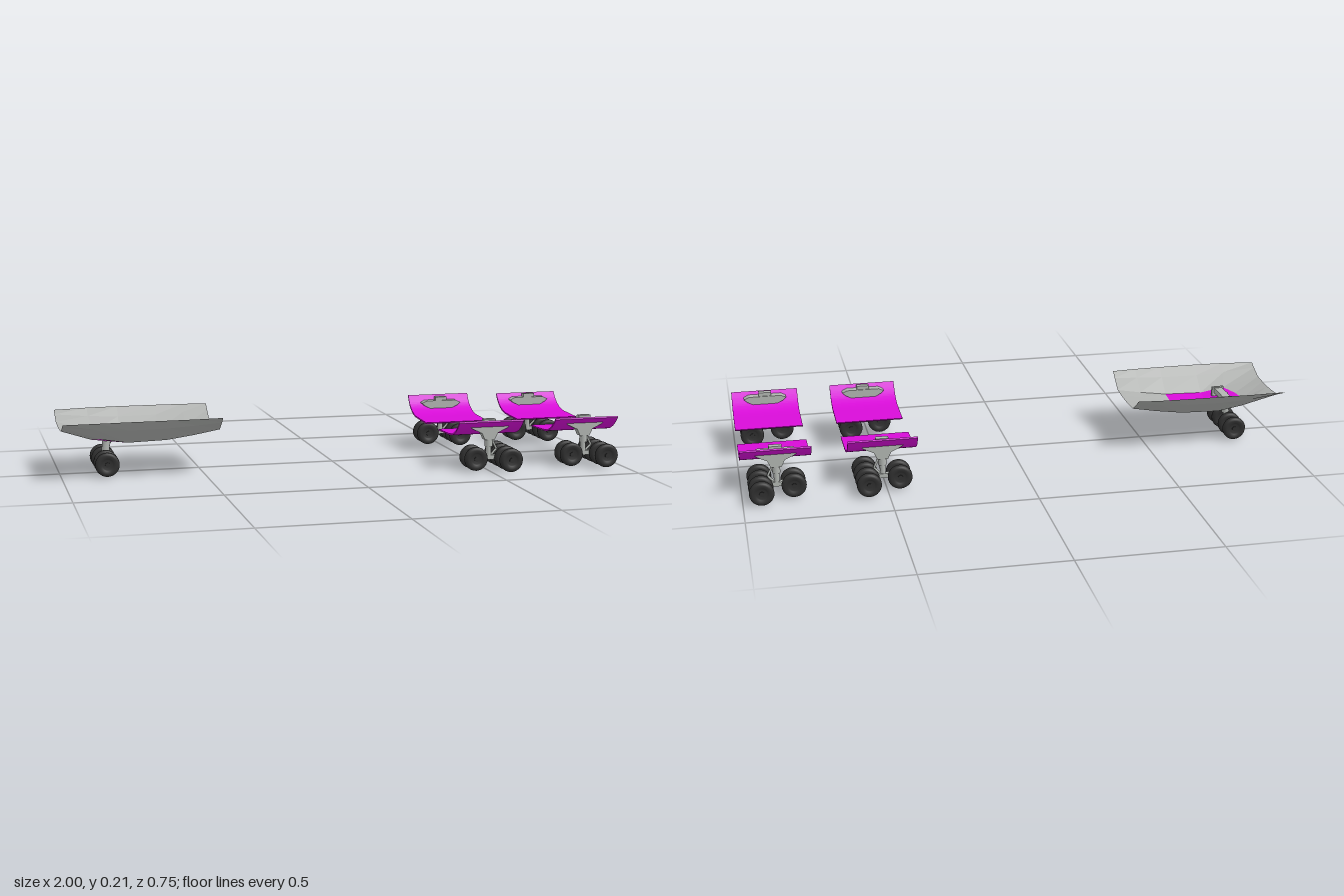
import * as THREE from 'three';

const mat = (name, color, side = THREE.FrontSide) => {
  const m = new THREE.MeshStandardMaterial({ color, side });
  m.name = name;
  return m;
};

export function createModel() {
  const root = new THREE.Group();
  root.name = 'landingGearSet';
  const hullGrey = mat('hullGrey', 0xb0b2b0, THREE.DoubleSide);
  const magenta = mat('magenta', 0xd80cd8, THREE.DoubleSide);
  const metal = mat('metalGrey', 0xb2b6b2);
  const rubber = mat('rubber', 0x303030);

  const add = (parent, name, geo, material, x = 0, y = 0, z = 0) => {
    const m = new THREE.Mesh(geo, material);
    m.name = name;
    m.position.set(x, y, z);
    parent.add(m);
    return m;
  };
  const box = (parent, name, w, h, d, x, y, z) =>
    add(parent, name, new THREE.BoxGeometry(w, h, d), metal, x, y, z);
  // Round bar between two points
  const bar = (parent, name, a, b, r) => {
    const p = new THREE.Vector3(...a), q = new THREE.Vector3(...b);
    const m = add(parent, name, new THREE.CylinderGeometry(r, r, p.distanceTo(q), 14), metal);
    m.position.copy(p).add(q).multiplyScalar(0.5);
    m.quaternion.setFromUnitVectors(new THREE.Vector3(0, 1, 0), q.sub(p).normalize());
  };

  // Tyre with rounded shoulders and a recessed hub
  const R = 0.043, WY = 0.046;
  const tyreGeo = new THREE.LatheGeometry([
    [0, -0.008], [0.018, -0.008], [0.021, -0.012], [0.032, -0.0145], [0.039, -0.012], [0.0425, -0.006],
    [R, 0], [0.0425, 0.006], [0.039, 0.012], [0.032, 0.0145], [0.021, 0.012], [0.018, 0.008], [0, 0.008],
  ].map(p => new THREE.Vector2(...p)), 28).rotateX(Math.PI / 2);
  const wheel = (parent, x, z) => {
    add(parent, 'tyre', tyreGeo, rubber, x, WY, z);
    const hub = new THREE.CylinderGeometry(0.009, 0.009, 0.022, 12).rotateX(Math.PI / 2);
    add(parent, 'wheelHub', hub, rubber, x, WY, z);
  };

  // Nose hull: sections along x with edge half width and heights of edge, side, chine, keel
  const sections = [
    [-1.0, 0.178, 0.207, 0.194, 0.174, 0.168],
    [-0.88, 0.187, 0.209, 0.182, 0.139, 0.128],
    [-0.77, 0.188, 0.210, 0.176, 0.124, 0.112],
    [-0.63, 0.187, 0.210, 0.178, 0.128, 0.119],
    [-0.53, 0.184, 0.210, 0.184, 0.142, 0.135],
    [-0.44, 0.176, 0.210, 0.190, 0.158, 0.153],
  ];
  const rings = sections.map(([x, w, ye, ys, yc, yk], i) => {
    const half = [[w, ye, 0], [0.1 + (w - 0.1) * 0.68, ys, 0], [0.105, yc, 0.02],
      [0.055, (yc + yk * 2) / 3, -0.012], [0, yk, -0.022]];
    const all = [...half, ...half.slice(0, 4).reverse().map(([z, y, b]) => [-z, y, b])];
    // The front edge of the door bows forward
    return all.map(([z, y, bow]) => [x + (i === 1 ? bow : 0), y, z]);
  });
  const shell = [], door = [];
  for (let i = 0; i < rings.length - 1; i++) {
    for (let j = 0; j < 8; j++) {
      const isDoor = (i === 1 || i === 2) && j >= 2 && j <= 5;
      const a = rings[i][j], b = rings[i + 1][j], c = rings[i + 1][j + 1], d = rings[i][j + 1];
      (isDoor ? door : shell).push(...a, ...c, ...b, ...a, ...d, ...c);
    }
  }
  const facets = pos => {
    const g = new THREE.BufferGeometry();
    g.setAttribute('position', new THREE.Float32BufferAttribute(pos, 3));
    g.computeVertexNormals();
    return g;
  };
  const nose = new THREE.Group();
  nose.name = 'noseGear';
  root.add(nose);
  add(nose, 'noseHull', facets(shell), hullGrey);
  add(nose, 'noseDoor', facets(door), magenta);

  // Nose strut, axle, mounting frame and wheels
  bar(nose, 'noseStrut', [-0.84, WY, 0], [-0.832, 0.11, 0], 0.009);
  bar(nose, 'noseSleeve', [-0.836, 0.08, 0], [-0.828, 0.155, 0], 0.014);
  bar(nose, 'noseAxle', [-0.84, WY, -0.095], [-0.84, WY, 0.095], 0.007);
  bar(nose, 'noseDragBrace', [-0.838, 0.085, 0], [-0.80, 0.14, 0], 0.005);
  box(nose, 'noseMount', 0.03, 0.018, 0.13, -0.822, 0.148, 0);
  for (const s of [-1, 1]) {
    box(nose, 'noseMountEnd', 0.045, 0.035, 0.012, -0.822, 0.143, s * 0.06);
    wheel(nose, -0.84, s * 0.037);
    wheel(nose, -0.84, s * 0.091);
  }

  // Main gear: curved belly panel, tapered mount, strut and six-wheel bogie
  const mainGear = (name, cx, s, top) => {
    const g = new THREE.Group();
    g.name = name;
    g.position.x = cx;
    root.add(g);

    const curve = new THREE.SplineCurve([[0.075, 0.114], [0.15, 0.116], [0.22, 0.120], [0.262, 0.134],
      [0.292, 0.155], [0.313, top]].map(([z, y]) => new THREE.Vector2(z * s, y)));
    const low = curve.getPoints(24);
    const high = low.map(p => new THREE.Vector2(p.x - s * 0.003, p.y + 0.005)).reverse();
    const panel = new THREE.ExtrudeGeometry(new THREE.Shape([...low, ...high]), { depth: 0.244, bevelEnabled: false });
    panel.translate(0, 0, -0.122).rotateY(-Math.PI / 2);
    add(g, 'bellyPanel', panel, magenta);

    // Tapered mount passing through the panel
    const outline = new THREE.Shape([[-0.018, 0.11], [0.018, 0.11], [0.03, 0.135], [0.066, 0.152], [0.078, 0.163],
      [0.06, 0.172], [-0.06, 0.172], [-0.078, 0.163], [-0.066, 0.152], [-0.03, 0.135]]
      .map(p => new THREE.Vector2(...p)));
    const mount = new THREE.ExtrudeGeometry(outline, { depth: 0.03, bevelEnabled: false });
    add(g, 'strutMount', mount, metal, 0, 0, s * 0.28 - 0.015);
    box(g, 'mountCap', 0.045, 0.025, 0.022, 0, 0.173, s * 0.28);
    bar(g, 'strutSleeve', [0, 0.085, s * 0.28], [0, 0.15, s * 0.28], 0.014);
    bar(g, 'strutPiston', [0, WY, s * 0.28], [0, 0.1, s * 0.28], 0.010);
    bar(g, 'torqueLink', [0.008, 0.12, s * 0.28], [0.03, 0.075, s * 0.28], 0.004);
    bar(g, 'torqueLink', [0.03, 0.075, s * 0.28], [0.006, 0.05, s * 0.28], 0.004);

    // Bogie: two wheels on one axle, four on the other
    box(g, 'bogieBeam', 0.118, 0.016, 0.018, 0, WY, s * 0.282);
    bar(g, 'shortAxle', [-0.057, WY, s * 0.25], [-0.057, WY, s * 0.315], 0.007);
    bar(g, 'longAxle', [0.057, WY, s * 0.195], [0.057, WY, s * 0.37], 0.008);
    for (const z of [0.256, 0.309]) wheel(g, -0.057, s * z);
    for (const z of [0.201, 0.256, 0.309, 0.362]) wheel(g, 0.057, s * z);
  };
  for (const s of [1, -1]) {
    const side = s > 0 ? 'Front' : 'Back';
    mainGear('innerMainGear' + side, 0.511, s, s > 0 ? 0.178 : 0.186);
    mainGear('outerMainGear' + side, 0.878, s, s > 0 ? 0.176 : 0.180);
  }
  return root;
}
